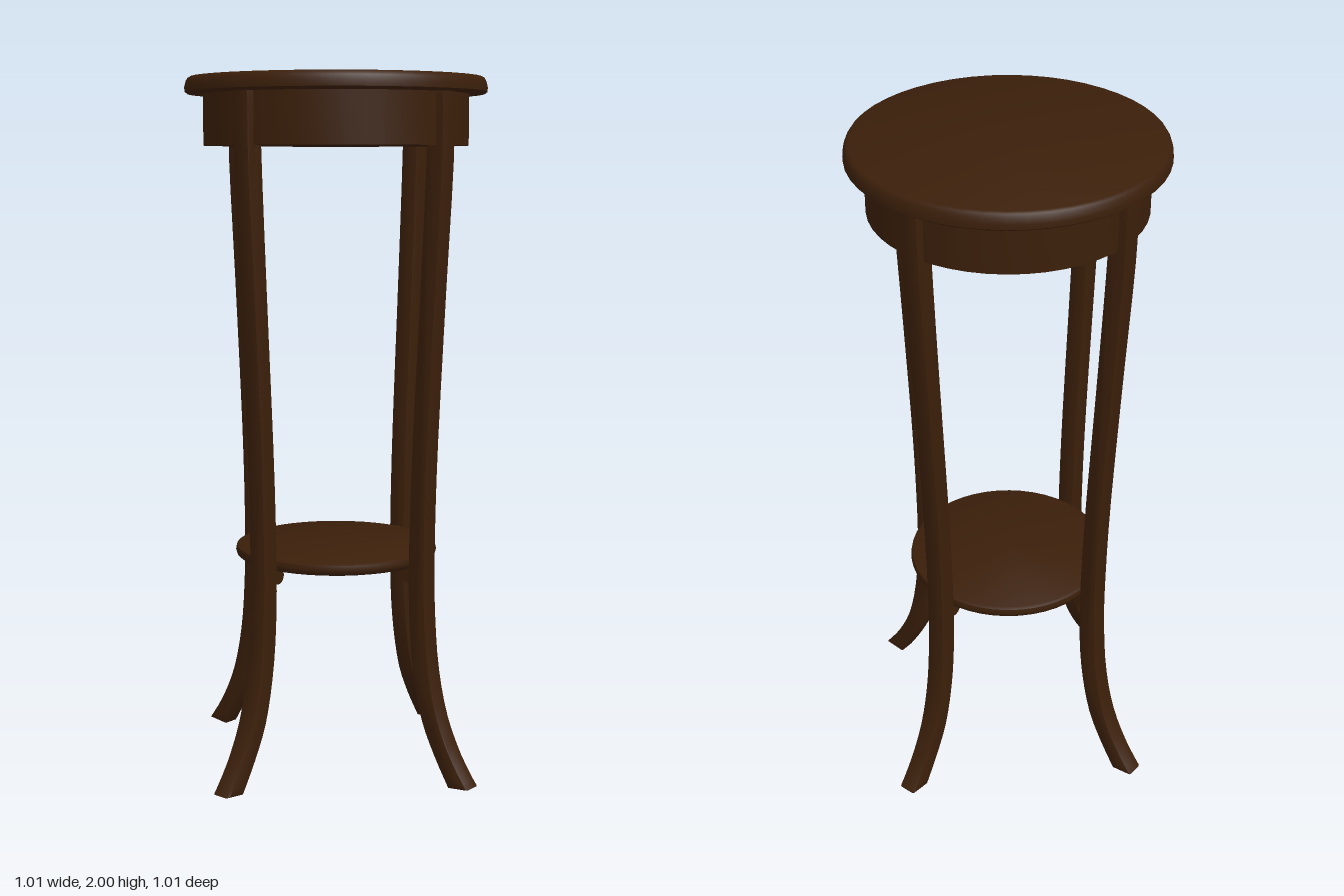
import * as THREE from 'three';
import { toCreasedNormals } from 'three/addons/utils/BufferGeometryUtils.js';

export function createModel() {
  const model = new THREE.Group();
  model.name = 'pedestalTable';
  const wood = new THREE.MeshStandardMaterial({ color: 0x3b1f0a });
  wood.name = 'darkWood';

  const add = (name, geometry, parent = model) => {
    const mesh = new THREE.Mesh(geometry, wood);
    mesh.name = name;
    parent.add(mesh);
    return mesh;
  };
  // Turned part from [radius, height] pairs running bottom to top on the outside
  const turned = (points, segments = 48) => toCreasedNormals(
    new THREE.LatheGeometry(points.map(([r, y]) => new THREE.Vector2(r, y)), segments), 0.7);

  // Round top, widest near its lower edge, rounding over to the flat
  add('tableTop', turned([[0, 1.952], [0.422, 1.952], [0.43, 1.958], [0.43, 1.972],
    [0.426, 1.988], [0.421, 1.996], [0.413, 2], [0, 2]]));

  // Apron drum under the top, closed underneath
  add('apron', turned([[0, 1.808], [0.378, 1.808], [0.378, 1.953]]));

  // Round lower shelf with a rounded rim
  add('shelf', turned([[0, 0.617], [0.284, 0.617], [0.293, 0.624], [0.296, 0.635],
    [0.293, 0.647], [0.284, 0.652], [0, 0.652]]));

  // Sabre leg: side outline swept through its width with small bevels
  const bevel = 0.006;
  const width = 0.056;
  const toCurve = (points) => new THREE.SplineCurve(
    points.map(([x, y]) => new THREE.Vector2(x, y))).getPoints(28);
  const outer = toCurve([[0.503, 0.008], [0.446, 0.09], [0.395, 0.2], [0.363, 0.34],
    [0.349, 0.5], [0.346, 0.66], [0.353, 0.95], [0.377, 1.4], [0.398, 1.75], [0.401, 1.953]]);
  const inner = toCurve([[0.343, 1.953], [0.343, 1.8], [0.324, 1.4], [0.3, 0.95],
    [0.291, 0.66], [0.293, 0.48], [0.307, 0.33], [0.338, 0.19], [0.384, 0.09], [0.438, 0]]);
  const outline = new THREE.Shape([...outer, ...inner]);
  const legGeometry = new THREE.ExtrudeGeometry(outline, {
    depth: width - 2 * bevel, bevelEnabled: true, bevelThickness: bevel,
    bevelSize: bevel, bevelOffset: -bevel, bevelSegments: 2,
  });
  legGeometry.translate(0, 0, -width / 2 + bevel);
  const legSurface = toCreasedNormals(legGeometry, 0.6);
  const supportGeometry = new THREE.CylinderGeometry(0.024, 0.024, 0.044, 20);
  supportGeometry.rotateX(Math.PI / 2);

  // Four legs, each with a small rounded block carrying the shelf
  for (let i = 0; i < 4; i++) {
    const leg = new THREE.Group();
    leg.name = 'legAssembly' + (i + 1);
    leg.rotation.y = i * Math.PI / 2;
    add('leg', legSurface, leg);
    add('shelfSupport', supportGeometry, leg).position.set(0.281, 0.602, 0);
    model.add(leg);
  }
  return model;
}
